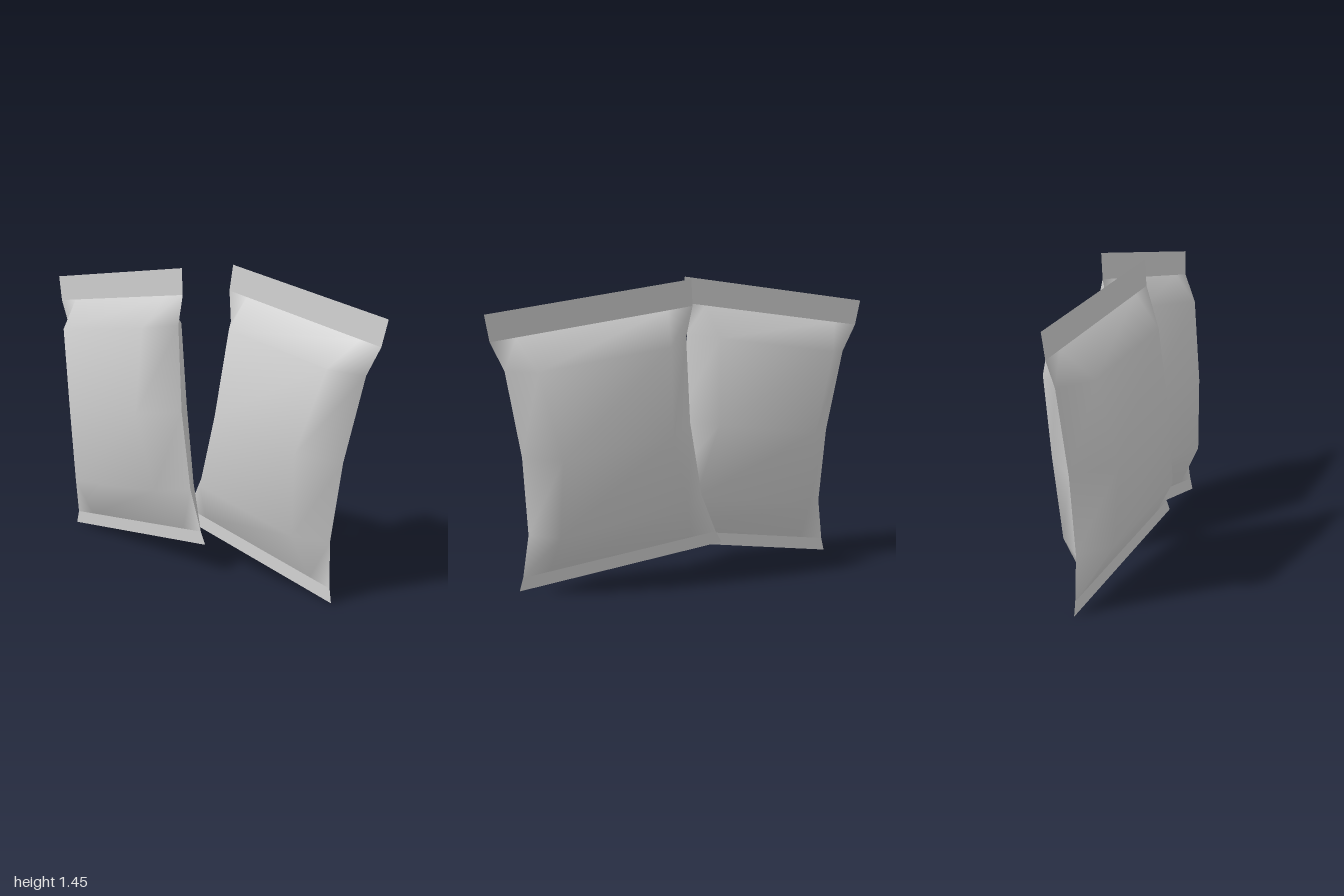
import * as THREE from 'three';

// Pillow rings from bottom seal to top seal: height, half width, half width of the flat face, half depth
const RINGS = [
  [0.062, 0.488, 0.36, 0],
  [0.265, 0.434, 0.315, 0.128],
  [0.64, 0.412, 0.264, 0.165],
  [1.053, 0.434, 0.312, 0.127],
  [1.195, 0.481, 0.36, 0],
];

// Surface through rows of points; rows run upward, points run left to right
function sheet(rows) {
  const cols = rows[0].length;
  const index = [];
  for (let r = 0; r < rows.length - 1; r++) {
    for (let c = 0; c < cols - 1; c++) {
      const a = r * cols + c, b = a + 1, d = a + cols, e = d + 1;
      index.push(a, b, e, a, e, d);
    }
  }
  const geometry = new THREE.BufferGeometry();
  geometry.setAttribute('position', new THREE.Float32BufferAttribute(rows.flat(2), 3));
  geometry.setIndex(index);
  geometry.computeVertexNormals();
  return geometry;
}

export function createModel() {
  const foil = new THREE.MeshStandardMaterial({ color: 0xcccccc, side: THREE.DoubleSide });
  foil.name = 'grey foil';

  // Shared geometry: one puffed panel and two flat crimped seals
  const panel = sheet(RINGS.map(([y, w, f, d]) => [[-w, y, 0], [-f, y, d], [f, y, d], [w, y, 0]]));
  const seal = (y0, w0, y1, w1) => sheet([[[-w0, y0, 0], [w0, y0, 0]], [[-w1, y1, 0], [w1, y1, 0]]]);
  const bottomSeal = seal(0, 0.513, 0.062, 0.488);
  const topSeal = seal(1.195, 0.481, 1.32, 0.488);

  function bag(name) {
    const group = new THREE.Group();
    group.name = name;
    const add = (part, geometry) => {
      const mesh = new THREE.Mesh(geometry, foil);
      mesh.name = part;
      group.add(mesh);
      return mesh;
    };
    add('frontPanel', panel);
    add('backPanel', panel).rotation.y = Math.PI;
    add('bottomSeal', bottomSeal);
    add('topSeal', topSeal);
    return group;
  }

  // Two bags leaning away from each other, one slightly in front
  const rightBag = bag('rightBag');
  rightBag.position.set(-0.3375, 0.0775, 0.131);
  rightBag.rotation.set(-0.033, 0, 0.141);

  const leftBag = bag('leftBag');
  leftBag.position.set(0.326, 0.083, -0.04);
  leftBag.rotation.set(-0.101, 0, -0.143);

  const model = new THREE.Group();
  model.name = 'snackBags';
  model.add(rightBag, leftBag);
  return model;
}
